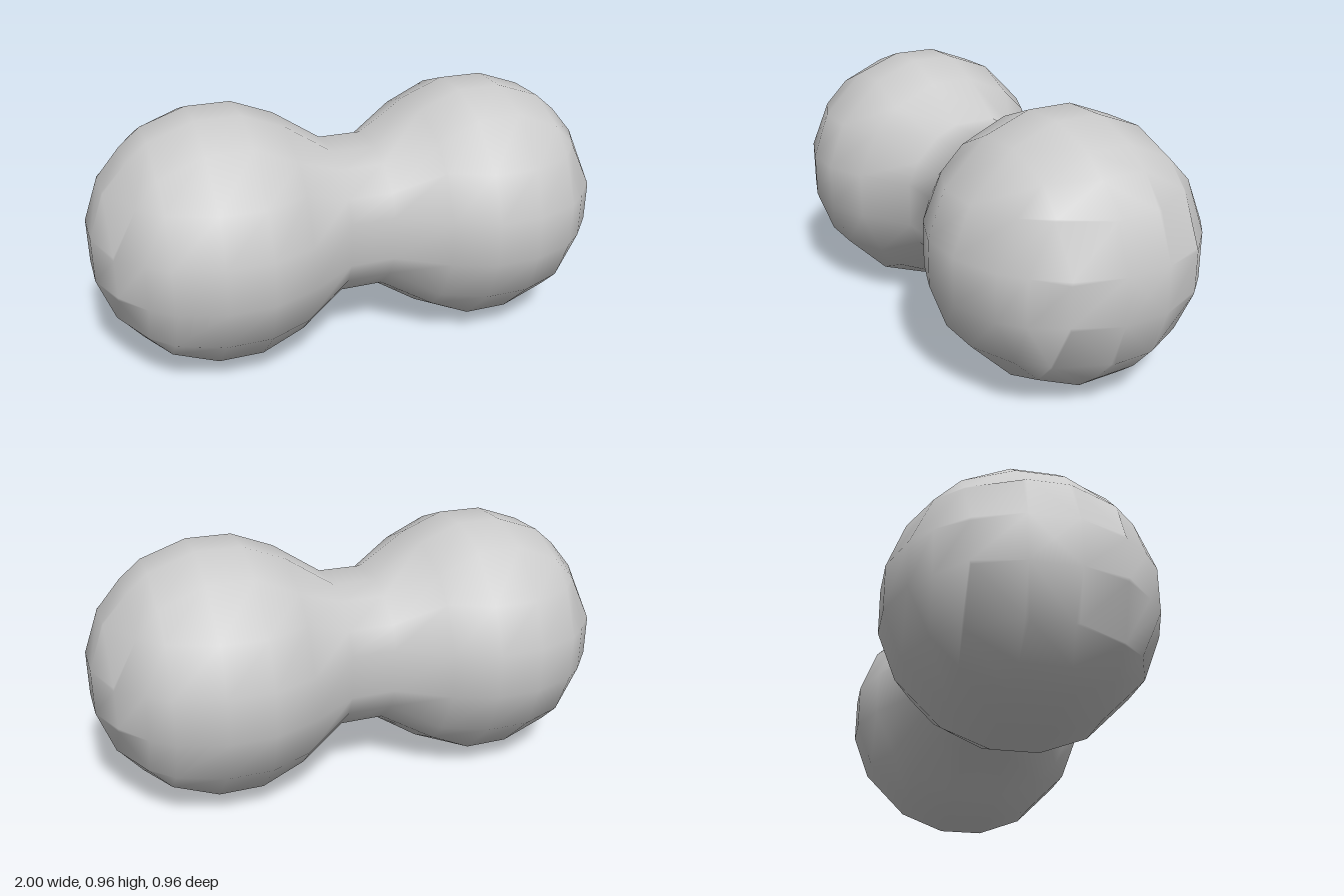
import * as THREE from 'three';
import { mergeVertices } from 'three/addons/utils/BufferGeometryUtils.js';

const CELL = 0.17; // facet spacing
const CENTRE_Y = 0.484;

// Sixteen angles where a circle of radius r crosses the facet lines
function ringAngles(r) {
  const a = Math.asin(Math.min(1, CELL / 2 / Math.max(r, CELL / Math.SQRT2)));
  const b = r > CELL * 1.5 ? Math.asin(CELL * 1.5 / r) : a;
  const quarter = [a, b, Math.PI / 2 - a, Math.PI / 2 - b].sort((p, q) => p - q);
  const all = [];
  for (let k = 0; k < 4; k++) quarter.forEach((t) => all.push(t + k * Math.PI / 2));
  return all;
}

// Skin over circular sections [x, radius], ordered by rising x
function loft(sections) {
  const pos = [], index = [], n = 16;
  sections.forEach(([x, r]) => {
    ringAngles(r).forEach((t) => pos.push(x, CENTRE_Y + r * Math.cos(t), r * Math.sin(t)));
  });
  for (let i = 0; i < sections.length - 1; i++) {
    for (let j = 0; j < n; j++) {
      const k = (j + 1) % n;
      const a = i * n + j, b = i * n + k, c = b + n, d = a + n;
      index.push(a, b, d, b, c, d);
    }
  }
  let geo = new THREE.BufferGeometry();
  geo.setAttribute('position', new THREE.Float32BufferAttribute(pos, 3));
  geo.setIndex(index);
  geo = mergeVertices(geo, 1e-4);
  geo.computeVertexNormals();
  return geo;
}

export function createModel() {
  const group = new THREE.Group();
  group.name = 'twinBlob';

  // Half profile from the waist to the end of one lobe, mirrored for the other
  const half = [
    [0.085, 0.306], [0.27, 0.426], [0.43, 0.488], [0.6, 0.488],
    [0.77, 0.43], [0.85, 0.365], [0.94, 0.265], [1, 0.12], [1, 0],
  ];
  const mirrored = half.map(([x, r]) => [-x, r]).reverse();

  // Two round lobes joined by a narrow waist
  const body = new THREE.Mesh(
    loft([...mirrored, ...half]),
    new THREE.MeshStandardMaterial({ color: 0xcccccc })
  );
  body.name = 'joinedLobes';
  group.add(body);
  return group;
}
